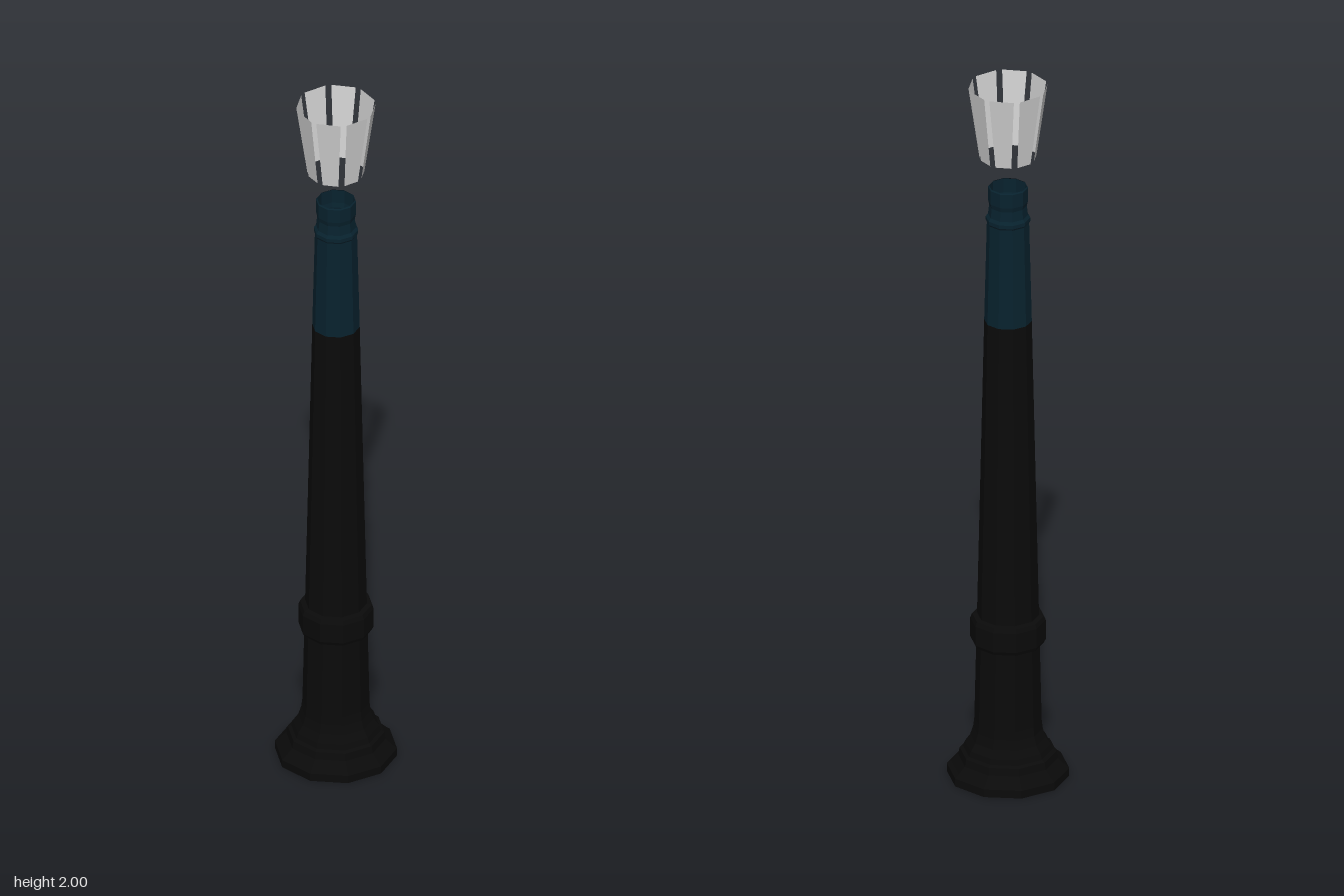
import * as THREE from 'three';

const SIDES = 10;

// Flat-faceted ring section turned from [radius, height] points, bottom to top
function turned(name, points, material) {
  const profile = points.map(([r, y]) => new THREE.Vector2(r, y));
  const mesh = new THREE.Mesh(new THREE.LatheGeometry(profile, SIDES).toNonIndexed(), material);
  mesh.geometry.computeVertexNormals();
  mesh.name = name;
  return mesh;
}

// One tapered, outward-leaning glass pane between two octagon corners
function pane(material) {
  const corner = (x, y, z) => {
    const r = Math.hypot(x, z), a = Math.PI / 4 - Math.atan2(x, z);
    return [[x, y, z], [r * Math.sin(a), y, r * Math.cos(a)]];
  };
  const [bl, br] = corner(0.008, 1.795, 0.075);
  const [tl, tr] = corner(0.008, 2, 0.105);
  const geometry = new THREE.BufferGeometry();
  geometry.setAttribute('position', new THREE.Float32BufferAttribute([...bl, ...br, ...tr, ...tl], 3));
  geometry.setIndex([0, 1, 2, 0, 2, 3]);
  geometry.computeVertexNormals();
  return new THREE.Mesh(geometry, material);
}

export function createModel() {
  const black = new THREE.MeshStandardMaterial({ color: 0x0a0a0a, side: THREE.DoubleSide });
  black.name = 'black iron';
  const teal = new THREE.MeshStandardMaterial({ color: 0x08222e, side: THREE.DoubleSide });
  teal.name = 'dark teal iron';
  const glass = new THREE.MeshStandardMaterial({ color: 0xcfcfcf, side: THREE.DoubleSide });
  glass.name = 'pale glass';

  const model = new THREE.Group();
  model.name = 'streetLamp';

  // Stepped base with an open underside
  model.add(turned('base', [
    [0.085, 0], [0.162, 0], [0.162, 0.022], [0.15, 0.032], [0.132, 0.05], [0.128, 0.07],
    [0.119, 0.075], [0.114, 0.09], [0.1, 0.11], [0.092, 0.135], [0.089, 0.16],
  ], black));

  // Tapering shaft and its collar
  model.add(turned('lowerShaft', [[0.089, 0.16], [0.084, 0.385]], black));
  model.add(turned('collar', [
    [0.084, 0.385], [0.095, 0.385], [0.1, 0.395], [0.1, 0.45], [0.095, 0.462], [0.082, 0.465],
  ], black));
  model.add(turned('middleShaft', [[0.082, 0.465], [0.063, 1.32]], black));

  // Upper shaft and moulded neck
  model.add(turned('upperShaft', [[0.063, 1.32], [0.056, 1.605]], teal));
  model.add(turned('neck', [
    [0.056, 1.605], [0.059, 1.61], [0.059, 1.62], [0.053, 1.628], [0.05, 1.655],
    [0.053, 1.668], [0.053, 1.707], [0.05, 1.71],
  ], teal));

  // Ring of eight lantern panes
  const lantern = new THREE.Group();
  lantern.name = 'lantern';
  for (let i = 0; i < 8; i++) {
    const p = pane(glass);
    p.name = 'glassPane';
    p.rotation.y = i * Math.PI / 4;
    lantern.add(p);
  }
  model.add(lantern);
  return model;
}
